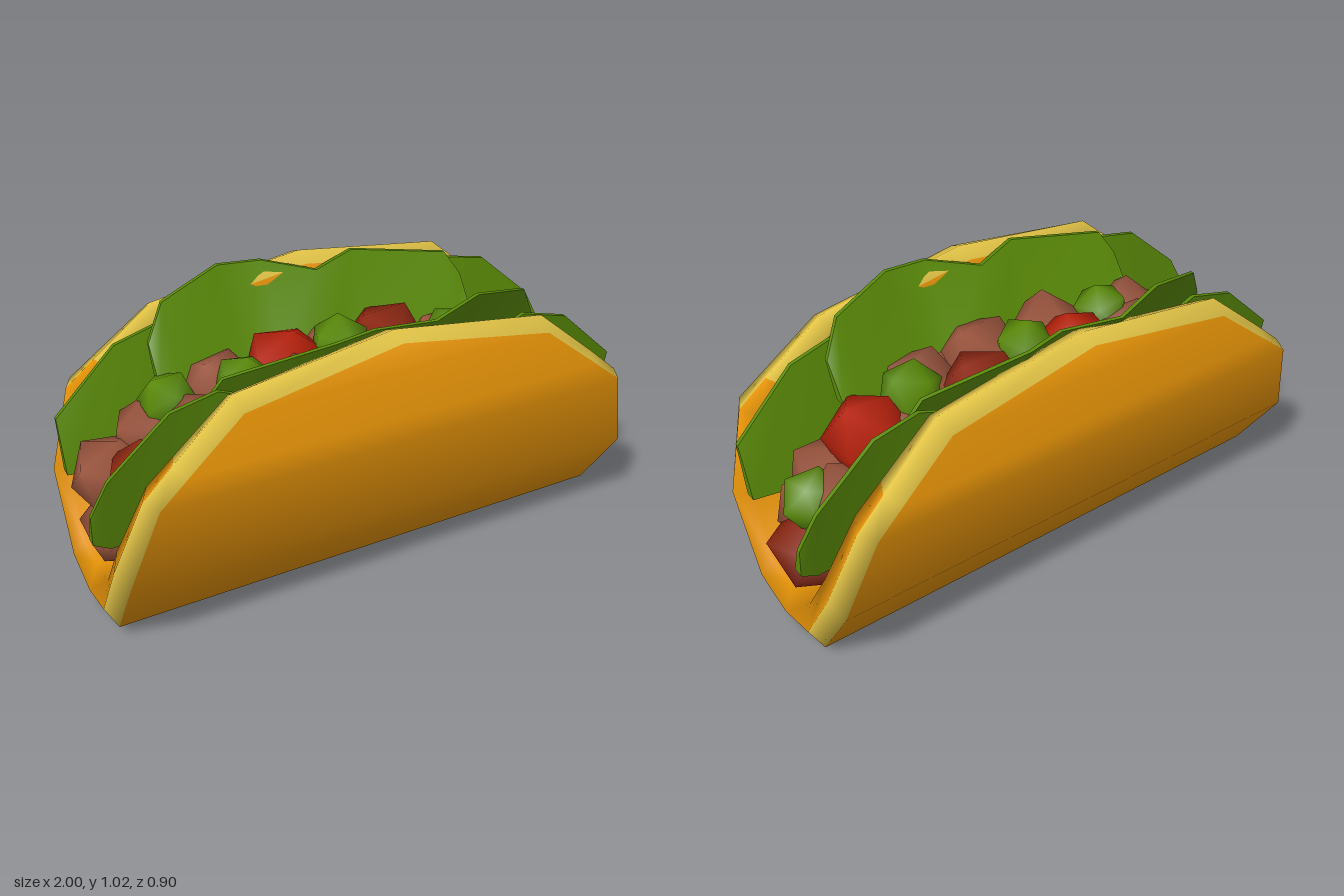
import * as THREE from 'three';
import { mergeGeometries, mergeVertices } from 'three/addons/utils/BufferGeometryUtils.js';

const material = (name, color, extra = {}) => {
  const m = new THREE.MeshStandardMaterial({ color, ...extra });
  m.name = name;
  return m;
};

// Smooth surface between two equally long lines of points; it faces (b - a) x (direction of the lines).
function strip(a, b) {
  const n = a.length, index = [];
  for (let i = 0; i < n - 1; i++) index.push(i, n + i, i + 1, i + 1, n + i, n + i + 1);
  const g = new THREE.BufferGeometry();
  g.setAttribute('position', new THREE.Float32BufferAttribute([...a, ...b].flat(), 3));
  g.setIndex(index);
  g.computeVertexNormals();
  return g;
}

// Weld shared points so the shading runs smoothly across them
function weld(geometry) {
  geometry.deleteAttribute('normal');
  const g = mergeVertices(geometry, 1e-3);
  g.computeVertexNormals();
  return g;
}

// Shell profiles from bottom to top as [z, y, half length in x]
const OUTER = [[0, 0, 0.945], [0.205, 0.05, 0.945], [0.385, 0.325, 0.945], [0.45, 0.64, 0.845],
  [0.438, 0.72, 0.745], [0.415, 0.875, 0.55], [0.4, 0.965, 0]];
const RIDGE = [[0, 0.07, 0.98], [0.165, 0.11, 0.98], [0.325, 0.37, 0.972], [0.385, 0.64, 0.878],
  [0.374, 0.732, 0.773], [0.35, 0.91, 0.56], [0.345, 0.99, 0]];
const INNER = [[0, 0.17, 0.945], [0.13, 0.19, 0.945], [0.25, 0.39, 0.935], [0.305, 0.64, 0.835],
  [0.3, 0.72, 0.738], [0.29, 0.875, 0.55], [0.285, 0.96, 0]];

// U-shaped line around one end, from the front top to the back top
const ring = (rows, end) => [
  ...rows.slice().reverse().map(([z, y, x]) => [end * x, y, z]),
  ...rows.slice(1).map(([z, y, x]) => [end * x, y, -z]),
];

// Whole shell with one group per strip, and the colour slot of each group (0 orange, 1 yellow)
function shellGeometry() {
  const parts = [strip(ring(OUTER, 1), ring(OUTER, -1)), strip(ring(INNER, -1), ring(INNER, 1))];
  const slots = [0, 0];
  for (const end of [1, -1]) {
    const [o, r, n] = [OUTER, RIDGE, INNER].map(p => ring(p, end));
    const band = (slot, a, b, from, to) => {
      const lines = [a.slice(from, to), b.slice(from, to)];
      parts.push(end > 0 ? strip(lines[0], lines[1]) : strip(lines[1], lines[0]));
      slots.push(slot);
    };
    band(1, r, o, 0, 13);
    // The inner bevel is pale only near the top
    band(1, n, r, 0, 3);
    band(0, n, r, 2, 11);
    band(1, n, r, 10, 13);
  }
  const g = weld(mergeGeometries(parts, true));
  g.groups.forEach((group, i) => { group.materialIndex = slots[i]; });
  return g;
}

// Leaf from stations [x, topY, topZ, bottomY, bottomZ], thinner along its top edge
function leafGeometry(stations, topThickness, bottomThickness) {
  const line = (iy, iz, offset) => stations.map(s => [s[0], s[iy], s[iz] + offset / 2]);
  const tf = line(1, 2, topThickness), tb = line(1, 2, -topThickness);
  const bf = line(3, 4, bottomThickness), bb = line(3, 4, -bottomThickness);
  const e = stations.length - 1;
  return mergeGeometries([
    strip(tf, bf), strip(tb, tf), strip(bb, tb), strip(bf, bb),
    strip([tf[e], tb[e]], [bf[e], bb[e]]), strip([tb[0], tf[0]], [bb[0], bf[0]]),
  ]);
}

// Lumpy low-poly chunk with smooth normals
function chunkGeometry(bump) {
  const g = new THREE.IcosahedronGeometry(1, 0);
  g.deleteAttribute('uv');
  const chunk = weld(g);
  const p = chunk.attributes.position;
  for (let i = 0; i < p.count; i++) {
    const k = 1 + bump * Math.sin(i * 2.4);
    p.setXYZ(i, p.getX(i) * k, p.getY(i) * k, p.getZ(i) * k);
  }
  chunk.computeVertexNormals();
  return chunk;
}

export function createModel() {
  const taco = new THREE.Group();
  taco.name = 'taco';
  const shellOrange = material('shell orange', 0xf09a08, { side: THREE.DoubleSide });
  const rimYellow = material('rim yellow', 0xe6c748, { side: THREE.DoubleSide });
  const leafGreen = material('leaf green', 0x5a8a08);
  const tomatoRed = material('tomato red', 0xb4200a);
  const darkRed = material('dark tomato red', 0x8c2611);
  const meatBrown = material('meat brown', 0x98533c);

  const add = (name, geometry, mat, parent = taco) => {
    const m = new THREE.Mesh(geometry, mat);
    m.name = name;
    parent.add(m);
    return m;
  };

  add('shell', shellGeometry(), [shellOrange, rimYellow]);

  // Lettuce: an upper and a lower leaf at the back, turned half round for the front
  const upperLeaf = leafGeometry([
    [-0.63, 0.84, -0.2, 0.71, -0.13], [-0.56, 0.96, -0.24, 0.68, -0.125],
    [-0.33, 1.02, -0.305, 0.69, -0.15], [-0.15, 0.985, -0.345, 0.71, -0.175],
    [0.02, 0.95, -0.25, 0.68, -0.145], [0.19, 0.97, -0.31, 0.71, -0.185],
    [0.55, 0.91, -0.25, 0.68, -0.15], [0.61, 0.82, -0.23, 0.68, -0.14],
  ], 0.015, 0.045);
  const lowerLeaf = leafGeometry([
    [-0.96, 0.62, -0.24, 0.43, -0.195], [-0.73, 0.83, -0.262, 0.4, -0.19],
    [-0.55, 0.88, -0.262, 0.42, -0.185], [-0.3, 0.76, -0.25, 0.45, -0.205],
    [0, 0.74, -0.26, 0.48, -0.185], [0.3, 0.76, -0.25, 0.45, -0.205],
    [0.57, 0.88, -0.262, 0.42, -0.185], [0.73, 0.845, -0.26, 0.38, -0.185],
    [0.94, 0.66, -0.255, 0.38, -0.195], [1, 0.53, -0.23, 0.42, -0.205],
  ], 0.015, 0.04);
  for (const side of ['back', 'front']) {
    const lettuce = new THREE.Group();
    lettuce.name = side + 'Lettuce';
    lettuce.rotation.y = side === 'front' ? Math.PI : 0;
    add('upperLeaf', upperLeaf, leafGreen, lettuce);
    add('lowerLeaf', lowerLeaf, leafGreen, lettuce);
    taco.add(lettuce);
  }

  // Filling chunks as [x, y, z, radius]
  const scatter = (name, geometry, mat, list) => list.forEach(([x, y, z, r], i) => {
    const m = add(name, geometry, mat);
    m.position.set(x, y, z);
    m.scale.setScalar(r);
    m.rotation.set(i * 1.3, i * 0.8, i * 0.5);
  });
  const meat = [
    [-0.83, 0.31, 0, 0.16], [-0.84, 0.47, -0.05, 0.15], [-0.68, 0.56, -0.1, 0.14],
    [-0.55, 0.61, 0.09, 0.17], [-0.42, 0.65, -0.09, 0.16], [-0.2, 0.67, 0.1, 0.16],
    [0.1, 0.68, 0.1, 0.16], [0, 0.64, -0.1, 0.16], [0.36, 0.64, 0.09, 0.17],
    [0.46, 0.6, -0.1, 0.15], [0.71, 0.46, 0.09, 0.16], [0.73, 0.46, -0.08, 0.16],
    [-0.74, 0.4, 0.1, 0.16], [0.78, 0.37, 0.1, 0.14], [0.78, 0.37, -0.1, 0.14],
  ];
  for (let i = 0; i < 7; i++) {
    const x = -0.66 + i * 0.22;
    meat.push([x, 0.33, 0.07, 0.18], [x, 0.33, -0.07, 0.18]);
    if (i > 0 && i < 6) meat.push([x, 0.53, 0, 0.18]);
    if (i > 1 && i < 5) meat.push([x, 0.61, 0.16, 0.14], [x, 0.61, -0.16, 0.14]);
  }
  scatter('meatChunk', chunkGeometry(0.06), meatBrown, meat);
  const tomato = chunkGeometry(0.05);
  scatter('tomatoChunk', tomato, tomatoRed, [[0.6, 0.64, 0, 0.155], [-0.19, 0.7, -0.07, 0.155]]);
  scatter('darkTomatoChunk', tomato, darkRed, [
    [0.2, 0.69, -0.08, 0.16], [0.83, 0.29, 0, 0.165], [-0.77, 0.52, 0.09, 0.14],
  ]);
  scatter('pepperChunk', chunkGeometry(0.03), leafGreen, [
    [-0.62, 0.68, -0.08, 0.105], [-0.39, 0.74, 0.03, 0.105], [0, 0.765, -0.03, 0.11],
    [0.42, 0.72, 0.03, 0.115], [0.83, 0.49, 0, 0.11],
  ]);
  return taco;
}
